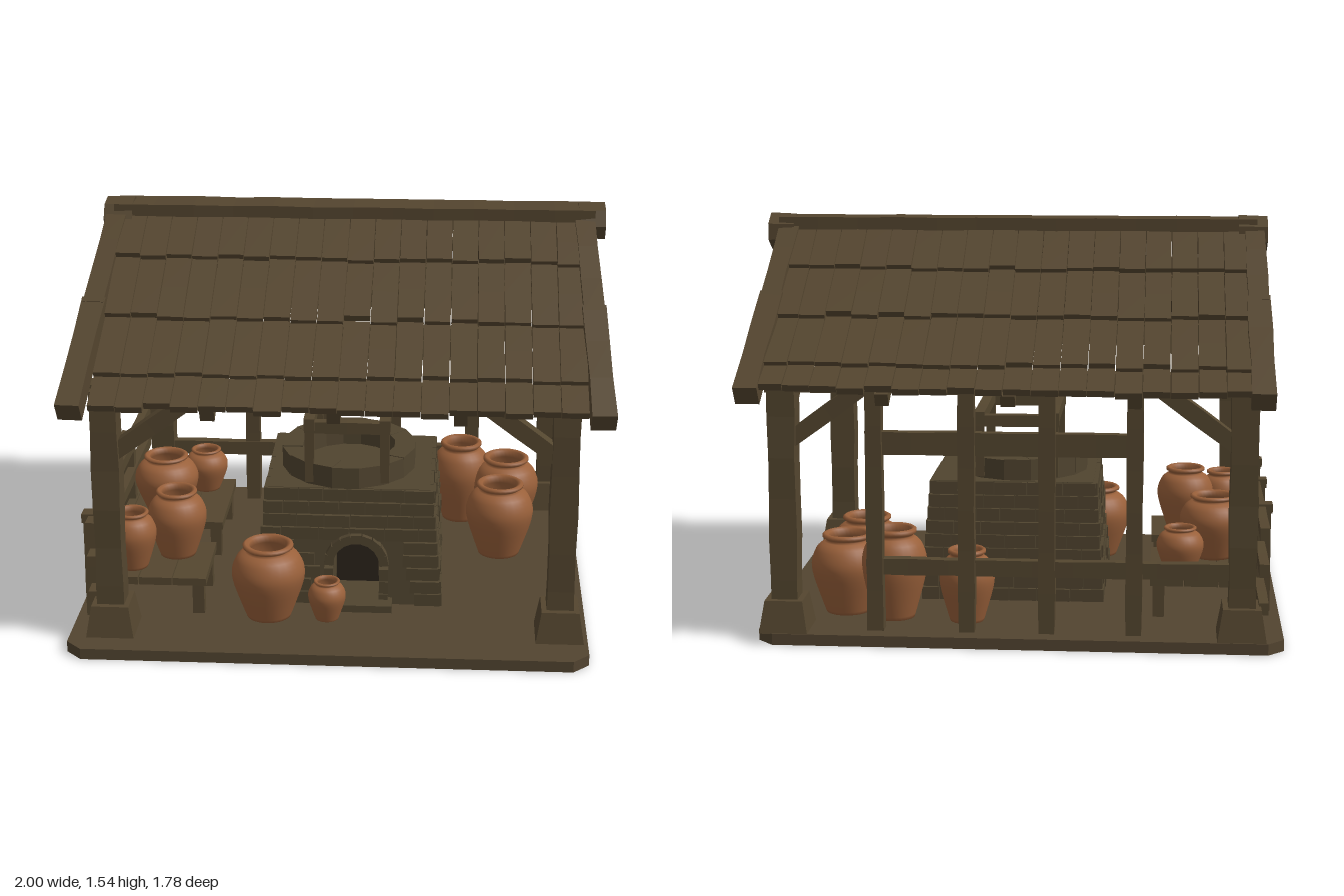
import * as THREE from 'three';
import { mergeGeometries } from 'three/addons/utils/BufferGeometryUtils.js';

let seed = 7;
const rnd = () => (seed = (seed * 16807) % 2147483647) / 2147483647;
const vary = (a) => (rnd() * 2 - 1) * a;
const V = (x, y, z) => new THREE.Vector3(x, y, z);

const material = (name, color, flatShading = true) => {
  const m = new THREE.MeshStandardMaterial({ color, flatShading });
  m.name = name;
  return m;
};

// Rough-hewn bar from a to b: w is its level width, h its depth
function beam(a, b, w, h = w, rough = 0.05) {
  const len = a.distanceTo(b);
  const g = new THREE.BoxGeometry(w, h, len, 1, 1, Math.max(1, Math.round(len / 0.16)));
  const p = g.attributes.position, s = rnd() * 6;
  for (let i = 0; i < p.count; i++) {
    const k = p.getZ(i) * 13 + s;
    p.setX(i, p.getX(i) * (1 + rough * Math.sin(k)));
    p.setY(i, p.getY(i) * (1 + rough * Math.cos(k * 1.3)));
  }
  const o = new THREE.Object3D();
  o.position.copy(a).add(b).multiplyScalar(0.5);
  o.lookAt(b);
  o.updateMatrix();
  return g.applyMatrix4(o.matrix);
}

const block = (x, y, z, sx, sy, sz) => new THREE.BoxGeometry(sx, sy, sz).translate(x, y, z);

// Block that narrows towards the top
function plinth(x, z, w, d) {
  const g = new THREE.BoxGeometry(w, 0.12, d);
  const p = g.attributes.position;
  for (let i = 0; i < p.count; i++) if (p.getY(i) > 0) {
    p.setX(i, p.getX(i) * 0.78);
    p.setZ(i, p.getZ(i) * 0.78);
  }
  return g.translate(x, 0.1, z);
}

// Roof slopes: z and y of the ridge, the sagging middle and the eave
const slopes = {
  front: { path: [[0.0, 1.49], [0.42, 1.225], [0.87, 0.975]], rows: [0.02, 0.21, 0.47, 0.72, 0.86] },
  back: { path: [[-0.08, 1.49], [-0.42, 1.23], [-0.87, 0.955]], rows: [-0.09, -0.28, -0.5, -0.74, -0.855] },
};
function roofY({ path: [a, b, c] }, z) {
  const [p, q] = Math.abs(z) < 0.42 ? [a, b] : [b, c];
  return p[1] + (q[1] - p[1]) * (z - p[0]) / (q[0] - p[0]);
}

// Kiln: centre and half sizes, leaning inwards with height
const kiln = { x: 0.03, z: 0.09, y0: 0.04, y1: 0.51 };
const lean = (y) => 0.036 * (y - kiln.y0) / (kiln.y1 - kiln.y0);
const mouth = { x: 0.06, y: 0.21, r: 0.09 };

export function createModel() {
  seed = 7;
  const wood = material('wood', 0x54462f);
  const roofWood = material('roof wood', 0x54452f);
  const stone = material('kiln stone', 0x50442f);
  const ground = material('floor', 0x524430);
  const clay = material('clay', 0x99603a, false);
  const soot = material('soot', 0x2a231b);
  const model = new THREE.Group();
  const part = (name, mat, geos) => {
    const mesh = new THREE.Mesh(geos.length > 1 ? mergeGeometries(geos) : geos[0], mat);
    mesh.name = name;
    model.add(mesh);
    return mesh;
  };

  // Floor slab with cut corners
  const c = 0.06, x0 = -1, x1 = 0.94, f = -0.87, b = 0.76;
  const slab = new THREE.Shape([[x0 + c, f], [x1 - c, f], [x1, f + c], [x1, b - c], [x1 - c, b],
    [x0 + c, b], [x0, b - c], [x0, f + c]].map(([x, y]) => new THREE.Vector2(x, y)));
  part('floor', ground, [new THREE.ExtrudeGeometry(slab, { depth: 0.042, bevelEnabled: false }).rotateX(-Math.PI / 2)]);

  // Corner posts, plinths and braces
  const posts = [], feet = [], braces = [];
  for (const [x, z] of [[-0.845, 0.68], [0.835, 0.635], [-0.845, -0.66], [0.84, -0.66]]) {
    const sx = Math.sign(x), sz = Math.sign(z);
    posts.push(beam(V(x, 0.08, z), V(x, 1.0, z), 0.1));
    feet.push(plinth(x, z, 0.18, 0.19));
    braces.push(beam(V(x - sx * 0.02, 0.75, z), V(x - sx * 0.32, 0.97, z), 0.06));
    braces.push(beam(V(x, 0.78, z), V(x, 1.02, z - sz * 0.28), 0.06));
  }
  part('cornerPosts', wood, posts);
  part('postPlinths', wood, feet);
  part('braces', wood, braces);

  // Wall plates and gable trusses
  part('wallPlates', wood, [0.65, -0.66].map((z) => beam(V(-0.9, 0.975, z), V(0.9, 0.975, z), 0.08)));
  const truss = [];
  for (const x of [-0.84, 0.84]) {
    truss.push(beam(V(x, 1.035, 0.66), V(x, 1.035, -0.66), 0.08, 0.09));
    truss.push(beam(V(x, 1.19, 0.42), V(x, 1.19, -0.45), 0.06, 0.06));
    truss.push(beam(V(x, 1.05, -0.035), V(x, 1.46, -0.035), 0.08, 0.09));
  }
  part('gableTrusses', wood, truss);

  // Verge beams, slightly splayed, following the sag of the roof
  const verges = [];
  for (const [xTop, xFront, xBack] of [[-0.89, -0.94, -0.9], [0.91, 0.95, 0.93]]) {
    for (const [s, xEnd] of [[slopes.front, xFront], [slopes.back, xBack]]) {
      const [p, q, e] = s.path, xm = (xTop + xEnd) / 2;
      verges.push(beam(V(xTop, p[1] - 0.02, p[0]), V(xm, q[1], q[0] * 1.03), 0.075, 0.075));
      verges.push(beam(V(xm, q[1] + 0.01, q[0] * 0.97), V(xEnd, e[1] - 0.005, e[0]), 0.085, 0.08));
    }
  }
  part('vergeBeams', roofWood, verges);

  // Rafters, purlins and overlapping shingle rows
  const rafters = [], purlins = [], shingles = [];
  for (const s of Object.values(slopes)) {
    const [p, q, e] = s.path;
    for (const x of [-0.45, 0, 0.45]) {
      rafters.push(beam(V(x, p[1] - 0.09, p[0]), V(x, q[1] - 0.07, q[0]), 0.05));
      rafters.push(beam(V(x, q[1] - 0.07, q[0]), V(x, e[1] - 0.02, e[0] * 0.96), 0.05));
    }
    for (const z of s.rows.slice(1, 4)) {
      const y = roofY(s, z) - 0.03;
      purlins.push(beam(V(-0.87, y, z), V(0.88, y, z), 0.045));
    }
    const n = 18;
    for (let r = 0; r < 4; r++) for (let i = 0; i < n; i++) {
      const za = s.rows[r], zb = s.rows[r + 1];
      const x = -0.87 + (i + 0.5) * 1.77 / n;
      const end = zb + Math.sign(zb) * (0.015 + vary(0.01));
      const lift = 0.02 + vary(0.004);
      shingles.push(beam(V(x, roofY(s, za) - 0.002, za), V(x, roofY(s, end) + lift, end),
        1.77 / n - 0.003, 0.026, 0.012));
    }
  }
  part('rafters', wood, rafters);
  part('purlins', wood, purlins);
  part('shingles', roofWood, shingles);

  // Ridge beam with chunky ends
  const knob = (x, len) => new THREE.CylinderGeometry(0.08, 0.085, len, 7).rotateZ(Math.PI / 2).scale(1, 0.85, 1.12).translate(x, 1.47, -0.04);
  part('ridge', roofWood, [beam(V(-0.9, 1.485, -0.04), V(0.95, 1.485, -0.04), 0.15, 0.085, 0.03), knob(-0.885, 0.11), knob(0.94, 0.1)]);

  // Open back wall
  const studs = [-0.45, -0.13, 0.165, 0.505].map((x) => beam(V(x, 0.04, -0.66), V(x, 0.97, -0.66), 0.06));
  part('backWall', wood, [...studs, beam(V(-0.48, 0.745, -0.645), V(0.54, 0.745, -0.645), 0.04, 0.085),
    beam(V(-0.84, 0.28, -0.645), V(0.54, 0.28, -0.645), 0.04, 0.06)]);

  // Side fence
  const fence = [0.15, 0.295, 0.43].map((y) => beam(V(-0.925, y, -0.68), V(-0.925, y + 0.005, 0.66), 0.035, 0.045));
  for (const z of [-0.3, 0.15, 0.56]) {
    fence.push(beam(V(-0.94, 0.04, z), V(-0.94, 0.44, z), 0.05));
    fence.push(new THREE.IcosahedronGeometry(0.034, 1).translate(-0.94, 0.44, z).deleteAttribute('uv')
      && block(-0.94, 0.445, z, 0.06, 0.035, 0.06));
  }
  part('sideFence', wood, fence);

  // Kiln core: solid back and a front wall with an arched mouth
  const leaning = (g) => {
    const p = g.attributes.position;
    for (let i = 0; i < p.count; i++) {
      const k = lean(p.getY(i));
      p.setX(i, kiln.x + (p.getX(i) - kiln.x) * (1 - k / 0.35));
      p.setZ(i, kiln.z + (p.getZ(i) - kiln.z) * (1 - k / 0.35));
    }
    return g;
  };
  part('kilnCore', stone, [leaning(block(kiln.x, 0.275, 0.0, 0.695, 0.47, 0.48))]);
  const wall = new THREE.Shape([[-0.317, 0.04], [0.377, 0.04], [0.377, 0.51], [-0.317, 0.51]].map(([x, y]) => new THREE.Vector2(x, y)));
  const hole = new THREE.Path().moveTo(mouth.x - mouth.r, 0.06).lineTo(mouth.x + mouth.r, 0.06);
  hole.absarc(mouth.x, mouth.y, mouth.r, 0, Math.PI, false);
  wall.holes.push(hole);
  part('kilnFront', stone, [leaning(new THREE.ExtrudeGeometry(wall, { depth: 0.18, bevelEnabled: false, curveSegments: 10 }).translate(0, 0, 0.238))]);
  part('kilnHearth', soot, [block(mouth.x, 0.18, 0.243, 0.17, 0.24, 0.008)]);

  // Kiln bricks in nine staggered courses on all four faces
  const bricks = [], h = 0.47 / 9;
  for (let k = 0; k < 9; k++) {
    const y = kiln.y0 + (k + 0.5) * h, hx = 0.358 - lean(y), hz = 0.338 - lean(y);
    for (const [half, depth, alongX] of [[hx, hz, true], [hz, hx, false]]) for (const side of [-1, 1]) {
      let u = -half;
      let w = k % 2 ? 0.075 : 0.13;
      while (u < half - 0.001) {
        const v = half - u - w < 0.05 ? half : u + w, m = (u + v) / 2;
        const out = side * (depth - 0.015 + vary(0.004));
        const X = kiln.x + m, nearMouth = alongX && side > 0
          && Math.abs(X - mouth.x) < 0.1 + (v - u) / 2 && y < mouth.y + 0.115;
        if (!nearMouth) bricks.push(alongX
          ? block(X, y, kiln.z + out, v - u - 0.004, h - 0.004, 0.036)
          : block(kiln.x + out, y, kiln.z + m, 0.036, h - 0.004, v - u - 0.004));
        u = v;
        w = 0.12 + vary(0.03);
      }
    }
  }
  part('kilnBricks', stone, bricks);

  // Arch stones around the mouth and the step before it
  const arch = [];
  for (let i = 0; i < 9; i++) {
    const a = Math.PI * (i + 0.5) / 9;
    arch.push(new THREE.BoxGeometry(0.035, 0.04, 0.05).translate(0.106, 0, 0).rotateZ(a).translate(mouth.x, mouth.y, 0.41));
  }
  for (const s of [-1, 1]) for (let i = 0; i < 3; i++)
    arch.push(block(mouth.x + s * 0.106, 0.068 + i * 0.052, 0.415, 0.035, 0.049, 0.05));
  arch.push(block(mouth.x + 0.02, 0.055, 0.45, 0.24, 0.03, 0.1));
  part('kilnMouth', stone, arch);

  // Round collar on the kiln and the frame above it
  const collar = [];
  for (let i = 0; i < 16; i++) {
    const a = i * Math.PI / 8;
    collar.push(new THREE.BoxGeometry(0.08, 0.085 + vary(0.006), 0.105).translate(0.22, 0, 0).rotateY(a).scale(1, 1, 1.1).translate(0.015, 0.55, 0.1));
  }
  part('kilnCollar', stone, collar);
  const frame = [];
  for (const x of [-0.125, 0.165]) {
    for (const z of [0.335, -0.15]) frame.push(beam(V(x, 0.52, z), V(x, 0.75, z), 0.035));
    frame.push(beam(V(x, 0.755, 0.36), V(x, 0.755, -0.175), 0.04, 0.045));
  }
  for (const z of [0.335, -0.15]) frame.push(beam(V(-0.145, 0.742, z), V(0.185, 0.742, z), 0.04, 0.045));
  part('kilnFrame', wood, frame);

  // Two low benches
  for (const [name, za, zb] of [['frontBench', 0.22, 0.57], ['rearBench', -0.46, 0.02]]) {
    const bits = [-0.83, -0.7, -0.57].map((x) => beam(V(x, 0.185, za), V(x, 0.185, zb), 0.126, 0.03, 0.02));
    for (const x of [-0.85, -0.54]) for (const z of [za + 0.05, zb - 0.05])
      bits.push(beam(V(x, 0.04, z), V(x, 0.175, z), 0.045));
    part(name, wood, bits);
  }

  // Clay jars: a smooth belly and a rolled rim, open at the top
  const belly = new THREE.SplineCurve([[0.6, 0], [0.76, 0.2], [0.96, 0.48], [0.99, 0.66], [0.83, 0.83], [0.57, 0.91]]
    .map(([r, y]) => new THREE.Vector2(r, y))).getPoints(16);
  const rim = [[0.62, 0.93], [0.69, 0.95], [0.69, 0.98], [0.62, 1], [0.52, 0.98], [0.49, 0.9], [0.75, 0.7], [0.6, 0.15], [0, 0.12]]
    .map(([r, y]) => new THREE.Vector2(r, y));
  const profile = [new THREE.Vector2(0, 0), ...belly, ...rim];
  const jars = [[-0.27, 0.04, 0.53, 0.14, 0.3], [-0.045, 0.04, 0.55, 0.072, 0.16],
    [0.62, 0.04, -0.12, 0.138, 0.31], [0.65, 0.04, -0.42, 0.138, 0.31], [0.46, 0.04, -0.49, 0.125, 0.35],
    [0.18, 0.04, -0.52, 0.105, 0.28], [-0.8, 0.2, 0.46, 0.092, 0.23], [-0.645, 0.2, 0.33, 0.115, 0.27],
    [-0.75, 0.2, -0.1, 0.13, 0.25], [-0.62, 0.2, -0.36, 0.09, 0.18]];
  jars.forEach(([x, y, z, r, tall]) => {
    const jar = part('clayJar', clay, [new THREE.LatheGeometry(profile.map((p) => new THREE.Vector2(p.x * r, p.y * tall)), 28)]);
    jar.position.set(x, y, z);
  });

  return model;
}
